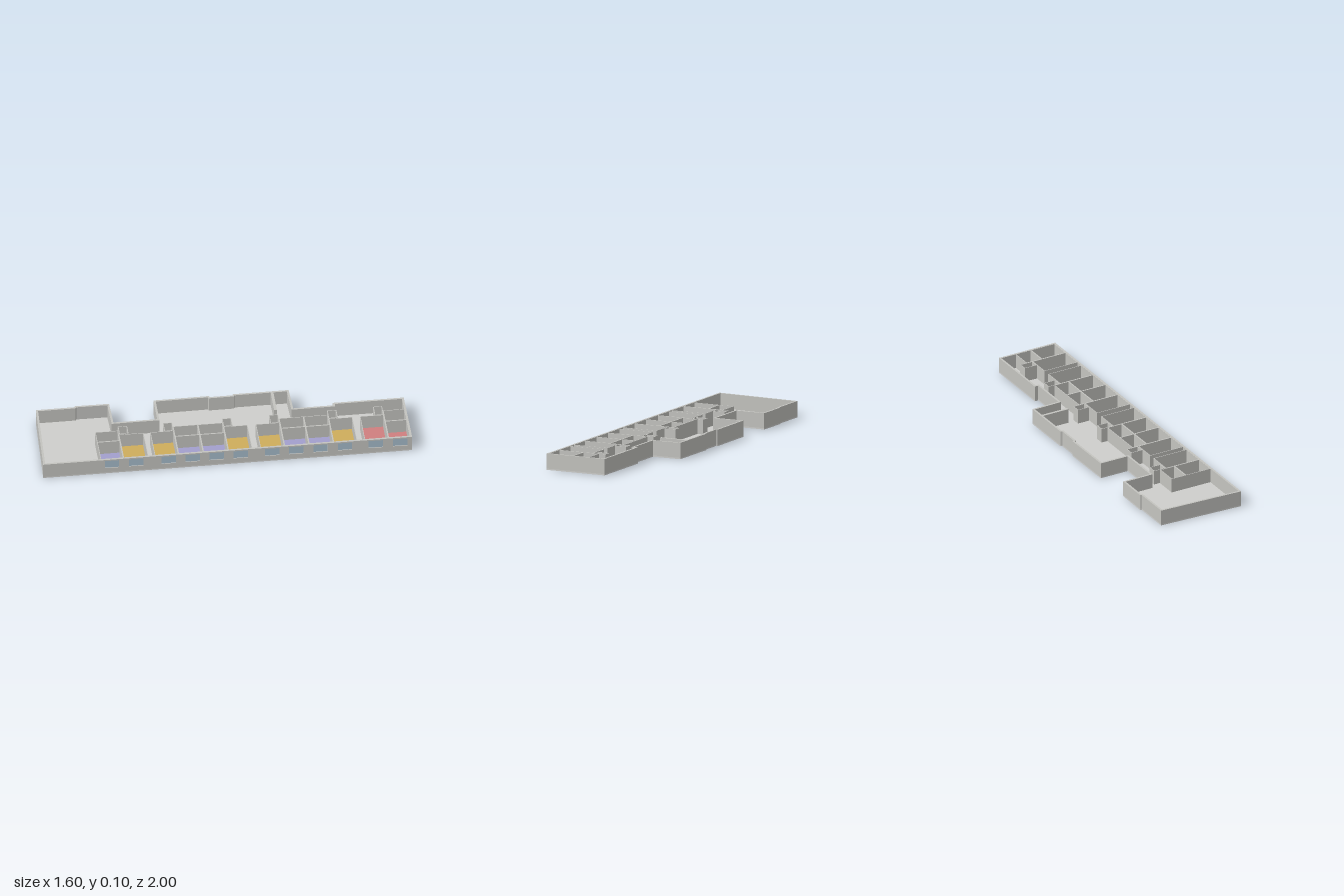
import * as THREE from 'three';

// Plan coordinates: u runs along the straight facade, v runs into the building.
const TOP = 0.096, SLAB = 0.008, WALL = 0.012, LENGTH = 2.147;

const material = (name, color) => {
  const m = new THREE.MeshStandardMaterial({ color });
  m.name = name;
  return m;
};

// Moves every edge of a counter-clockwise outline inwards by d
function inset(points, d) {
  const n = points.length;
  return points.map((p, i) => {
    const a = points[(i + n - 1) % n], b = points[(i + 1) % n];
    const d1 = new THREE.Vector2(p[0] - a[0], p[1] - a[1]).normalize();
    const d2 = new THREE.Vector2(b[0] - p[0], b[1] - p[1]).normalize();
    const k = d / (1 + d1.dot(d2));
    return [p[0] - (d1.y + d2.y) * k, p[1] + (d1.x + d2.x) * k];
  });
}

const toShape = (points) => new THREE.Shape(points.map((p) => new THREE.Vector2(p[0], p[1])));

// Raises a plan shape from y0 to y1
function raise(shape, y0, y1) {
  return new THREE.ExtrudeGeometry(shape, { depth: y1 - y0, bevelEnabled: false })
    .rotateX(-Math.PI / 2).translate(0, y0, 0);
}

const rect = (u0, u1, v0, v1) => [[u0, v0], [u1, v0], [u1, v1], [u0, v1]];

export function createModel() {
  const model = new THREE.Group();
  model.name = 'floorPlan';
  const plan = new THREE.Group();
  plan.name = 'building';
  plan.position.set(-0.378, 0, 1.0);
  plan.rotation.y = 0.99;
  model.add(plan);

  const wallMat = material('wall grey', 0xc4c4c0);
  const floorMat = material('floor grey', 0xcfcfcc);
  const glassMat = material('glass blue', 0xa6bccb);
  const colours = {
    living: material('living room gold', 0xcfad5c),
    bed: material('bedroom purple', 0xa39fcd),
    bath: material('bathroom beige', 0xd1bb94),
    shaft: material('vestibule blue', 0xafc1cd),
    service: material('service red', 0xd07f7f),
  };
  const add = (name, geometry, mat, parent = plan) => {
    const mesh = new THREE.Mesh(geometry, mat);
    mesh.name = name;
    parent.add(mesh);
    return mesh;
  };

  // Building outline with its projecting wings
  const outline = [
    [0, 0], [LENGTH, 0], [2.145, 0.377], [1.73, 0.377], [1.73, 0.354], [1.499, 0.354],
    [1.494, 0.53], [1.17, 0.53], [1.165, 0.52], [1.035, 0.52], [1.03, 0.53], [0.707, 0.528],
    [0.707, 0.349], [0.452, 0.349], [0.449, 0.528], [0.25, 0.53], [0.245, 0.521], [0.022, 0.521],
  ];
  add('floorSlab', raise(toShape(outline), 0, SLAB), floorMat);

  // Outer wall on every side but the straight facade
  const inner = inset(outline, WALL);
  const ring = [...outline.slice(1), outline[0], inner[0], ...inner.slice(1).reverse()];
  add('outerWall', raise(toShape(ring), SLAB, TOP), wallMat);

  // Straight facade with window openings and set-back panes
  const facade = toShape(rect(0, LENGTH, SLAB, TOP));
  const windows = [0.4, 0.541, 0.73, 0.871, 1.011, 1.149, 1.333, 1.472, 1.614, 1.756, 1.936, 2.077];
  const half = 0.042, sill = 0.037, head = 0.088;
  for (const u of windows) {
    facade.holes.push(toShape(rect(u - half, u + half, sill, head)));
    add('windowPane', new THREE.BoxGeometry(half * 2, head - sill, 0.003)
      .translate(u, (sill + head) / 2, -WALL / 2), glassMat);
  }
  add('facadeWall', new THREE.ExtrudeGeometry(facade, { depth: WALL, bevelEnabled: false })
    .translate(0, 0, -WALL), wallMat);

  // Thick partition closing off the far wing
  add('wingPartition', raise(toShape(rect(1.388, 1.404, 0.35, 0.522)), SLAB, TOP), wallMat);

  // A room: coloured floor plate framed by thin walls
  function room(kind, u0, u1, v0, v1) {
    const group = new THREE.Group();
    group.name = kind + 'Room';
    plan.add(group);
    const corners = rect(u0, u1, v0, v1), inside = inset(corners, 0.004);
    add('roomFloor', raise(toShape(inside), SLAB, SLAB + 0.003), colours[kind], group);
    const frame = toShape(corners);
    frame.holes.push(toShape(inside));
    add('roomWalls', raise(frame, SLAB, TOP - 0.001), wallMat, group);
  }

  const front = 0.01, mid = 0.175, deep = 0.231, back = 0.27;
  // Living rooms
  for (const [u0, u1] of [[0.468, 0.613], [0.65, 0.788], [1.078, 1.218], [1.264, 1.405], [1.69, 1.828]])
    room('living', u0, u1, front, deep);
  // Bedrooms, each with a bathroom behind
  for (const [u0, u1] of [[0.335, 0.468], [0.788, 0.933], [0.933, 1.078], [1.405, 1.548], [1.548, 1.69]]) {
    room('bed', u0, u1, front, mid);
    room('bath', u0, u1, mid, back);
  }
  // Entrance vestibules along the corridor
  for (const u of [0.472, 0.734, 1.078, 1.351, 1.69])
    room('shaft', u, u + 0.054, 0.235, 0.308);
  // Service rooms at the far end
  room('service', 1.871, 2.01, front, deep);
  room('service', 2.01, 2.137, front, 0.168);
  room('service', 2.01, 2.137, 0.168, back);
  room('service', 1.958, 2.01, deep, 0.312);

  return model;
}
